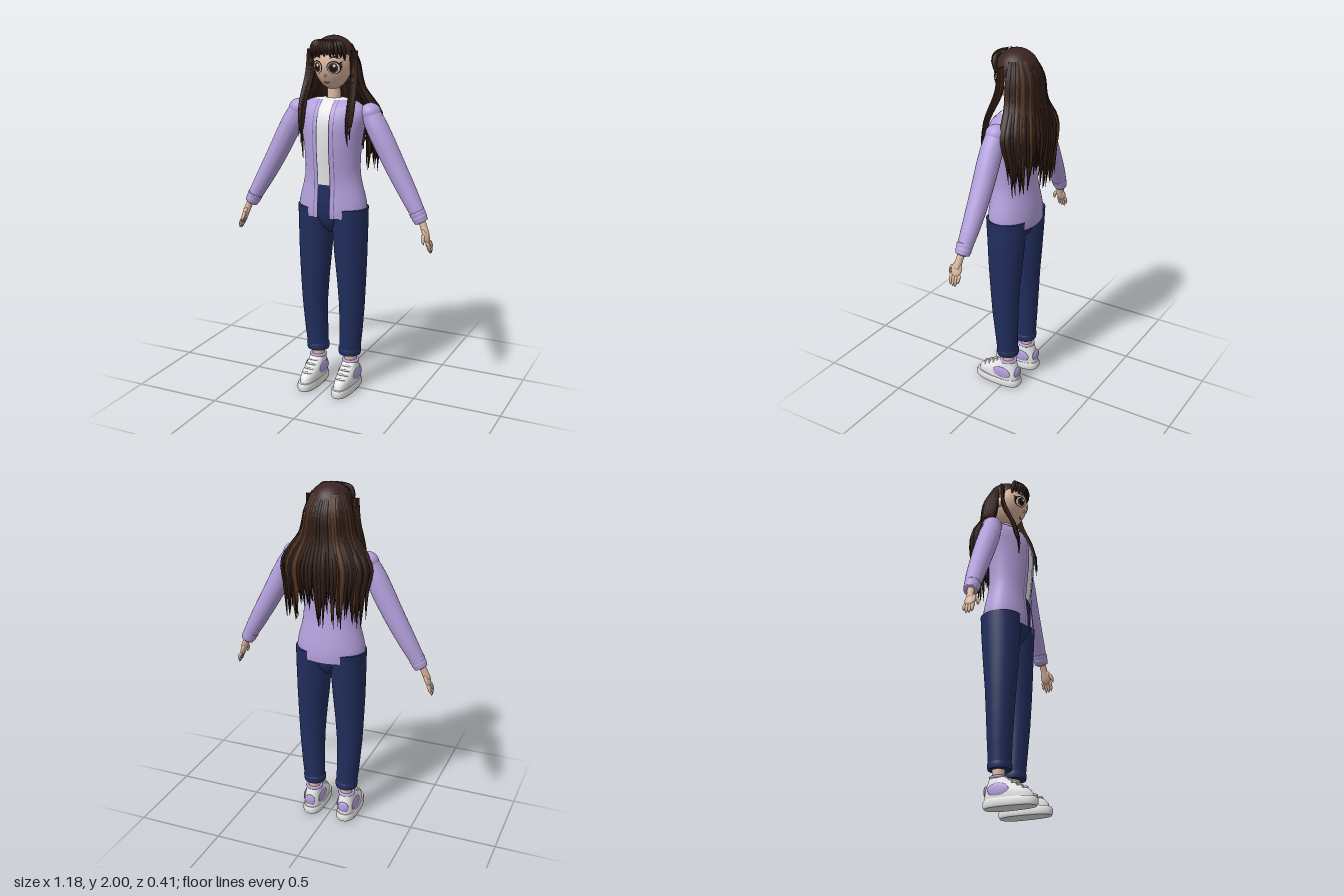
import * as THREE from 'three';
import { mergeGeometries } from 'three/addons/utils/BufferGeometryUtils.js';

const mat = (name, color, side = THREE.FrontSide) => {
  const m = new THREE.MeshStandardMaterial({ color, side });
  m.name = name;
  return m;
};
const V = (p) => new THREE.Vector3(...p);

// Small seeded random generator
let seed = 7;
const rnd = (a = 0, b = 1) => {
  seed = (seed * 16807) % 2147483647;
  return a + (b - a) * (seed / 2147483647);
};

// Surface through stacked ovals: rows of [y, cx, cz, halfWidth, frontDepth, backDepth]
function loft(rows, { seg = 40, range = null, pow = 1 } = {}) {
  const pos = [], idx = [], cols = range ? seg + 1 : seg;
  const bend = (v) => Math.sign(v) * Math.abs(v) ** pow;
  for (const r of rows) {
    const [a, b] = range ? range(r) : [0, Math.PI * 2];
    for (let i = 0; i < cols; i++) {
      const p = a + (b - a) * i / seg, c = bend(Math.cos(p));
      pos.push(r[1] + r[3] * bend(Math.sin(p)), r[0], r[2] + c * (c > 0 ? r[4] : r[5]));
    }
  }
  for (let j = 0; j < rows.length - 1; j++) for (let i = 0; i < seg; i++) {
    const a = j * cols + i, b = j * cols + (i + 1) % cols;
    idx.push(a, b, b + cols, a, b + cols, a + cols);
  }
  const g = new THREE.BufferGeometry();
  g.setAttribute('position', new THREE.Float32BufferAttribute(pos, 3));
  g.setIndex(idx);
  g.computeVertexNormals();
  return g;
}
// Close both ends of a row list
const capped = (rows) => {
  const end = (r) => [r[0], r[1], r[2], 0, 0, 0];
  const a = rows[0], z = rows[rows.length - 1];
  return [end(a), a, ...rows, z, end(z)];
};

// Tube along a curve with radii spread evenly over its length
function strand(points, radii, segs = 14, sides = 7) {
  const curve = new THREE.CatmullRomCurve3(points.map(V));
  const g = new THREE.TubeGeometry(curve, segs, 1, sides);
  const p = g.attributes.position, v = new THREE.Vector3();
  for (let i = 0; i < p.count; i++) {
    const t = Math.floor(i / (sides + 1)) / segs, c = curve.getPointAt(t);
    const k = Math.min(t * (radii.length - 1), radii.length - 1.0001), n = Math.floor(k);
    const r = THREE.MathUtils.lerp(radii[n], radii[n + 1], k - n);
    v.fromBufferAttribute(p, i).sub(c).multiplyScalar(r).add(c);
    p.setXYZ(i, v.x, v.y, v.z);
  }
  g.computeVertexNormals();
  return g;
}
const ball = (c, s, rz = 0) => new THREE.SphereGeometry(1, 28, 18).scale(...s).rotateZ(rz).translate(...c);
const mirror = (g) => {
  const m = g.clone().scale(-1, 1, 1), ix = m.index;
  for (let i = 0; i < ix.count; i += 3) {
    const a = ix.getX(i);
    ix.setX(i, ix.getX(i + 1));
    ix.setX(i + 1, a);
  }
  return m;
};

// Head shape: an egg that narrows toward the chin
const HY = 1.85, HR = [0.105, 0.135, 0.11];
const taper = (sy) => (sy < 0 ? 1 + 0.14 * sy : 1);
function faceZ(x, y) {
  const sy = (y - HY) / HR[1], k = taper(sy), sx = x / (HR[0] * k);
  return HR[2] * k * Math.sqrt(Math.max(0, 1 - sx * sx - sy * sy));
}
// Thin oval plate that hugs the face
function plate(cx, cy, rx, ry, lift) {
  const g = new THREE.RingGeometry(0.001, 1, 28, 4).scale(rx, ry, 1).translate(cx, cy, 0);
  const p = g.attributes.position;
  for (let i = 0; i < p.count; i++) p.setZ(i, faceZ(p.getX(i), p.getY(i)) + lift);
  g.computeVertexNormals();
  return g;
}
const faceLine = (pts, r) => strand(pts.map(([x, y]) => [x, y, faceZ(x, y) + 0.002]), [0, r, r, 0], 10, 5);

export function createModel() {
  seed = 7;
  const root = new THREE.Group();
  const M = {
    skin: mat('skin', 0xdcb79f), hair: mat('dark hair', 0x2f1c15), cap: mat('crown hair', 0x3a2322),
    light: mat('hair highlight', 0x55351f), lilac: mat('lilac cloth', 0xb3a0dc, THREE.DoubleSide),
    seam: mat('seam purple', 0x75689c, THREE.DoubleSide), navy: mat('navy denim', 0x212e5e),
    white: mat('white', 0xe9e9ea), black: mat('eye black', 0x1a1214), lip: mat('lip', 0x8c5149),
  };
  const add = (name, g, m) => {
    const mesh = new THREE.Mesh(Array.isArray(g) ? mergeGeometries(g) : g, m);
    mesh.name = name;
    root.add(mesh);
  };
  const pair = (name, g, m) => {
    const one = Array.isArray(g) ? mergeGeometries(g) : g;
    add(name + 'Left', one, m);
    add(name + 'Right', mirror(one), m);
  };

  // Head, ears and neck
  const head = new THREE.SphereGeometry(1, 40, 28), hp = head.attributes.position;
  for (let i = 0; i < hp.count; i++) {
    const y = hp.getY(i), k = taper(y);
    hp.setXYZ(i, hp.getX(i) * HR[0] * k, HY + y * HR[1], hp.getZ(i) * HR[2] * k);
  }
  head.computeVertexNormals();
  add('head', head, M.skin);
  pair('ear', ball([0.104, 1.83, -0.015], [0.014, 0.03, 0.02]), M.skin);
  add('neck', new THREE.CylinderGeometry(0.033, 0.04, 0.18, 24).translate(0, 1.68, -0.012), M.skin);

  // Face
  pair('eyeOutline', plate(0.047, 1.84, 0.034, 0.035, 0.002), M.black);
  pair('eyeWhite', plate(0.047, 1.838, 0.029, 0.03, 0.0035), M.white);
  pair('iris', plate(0.046, 1.839, 0.023, 0.027, 0.005), M.light);
  pair('pupil', plate(0.046, 1.839, 0.016, 0.02, 0.0065), M.black);
  add('eyeGlints', [plate(0.053, 1.85, 0.007, 0.008, 0.008), plate(-0.04, 1.85, 0.007, 0.008, 0.008)], M.white);
  pair('lash', [0, 1, 2].map((i) =>
    faceLine([[0.07, 1.858 - i * 0.012], [0.078, 1.863 - i * 0.012], [0.086, 1.87 - i * 0.013]], 0.003)), M.black);
  pair('eyebrow', faceLine([[0.025, 1.887], [0.05, 1.897], [0.072, 1.885]], 0.004), M.hair);
  add('nose', ball([0, 1.797, faceZ(0, 1.797)], [0.007, 0.007, 0.008]), M.skin);
  add('mouth', faceLine([[-0.02, 1.763], [0, 1.756], [0.02, 1.763]], 0.004), M.lip);

  // Crown of the hair
  add('hairCrown', new THREE.SphereGeometry(0.117, 40, 24, 0, Math.PI * 2, 0, 1.66)
    .rotateX(-0.6).translate(0, 1.883, -0.01), M.cap);

  // Long back hair in two layers, with some lighter strands
  const dark = [], light = [];
  for (const [count, k] of [[54, 1], [36, 0.88]]) for (let i = 0; i < count; i++) {
    const a = (i / (count - 1) * 2 - 1) * 1.5 + rnd(-0.03, 0.03), s = Math.sin(a), c = Math.cos(a);
    const w = rnd(0.94, 1.03) * k, tip = rnd(1.25, 1.42);
    const g = strand([
      [0.09 * s, 1.95, -0.02 - 0.075 * c],
      [0.123 * s * k, 1.86, -0.02 - 0.125 * c * k],
      [0.15 * s * k, 1.73, -0.03 - 0.125 * c * k],
      [0.238 * s * w, 1.58, -0.055 - 0.138 * c * w],
      [0.228 * s * w, 1.46, -0.075 - 0.115 * c * w],
      [0.22 * s * w + rnd(-0.01, 0.01), tip, -0.085 - 0.09 * c * w],
    ], [0.008, 0.014, 0.016, 0.018, 0.015, 0.008, 0.001], 18);
    (k === 1 && rnd() < 0.16 ? light : dark).push(g);
  }
  add('backHair', dark, M.hair);
  add('backHairHighlights', light, M.light);

  // Side locks falling in front of the shoulders
  const lock = (i) => strand([
    [0.105 + i * 0.009, 1.925, 0.012], [0.116 + i * 0.007, 1.8, 0.012 + i * 0.003],
    [0.13 + i * 0.006, 1.64, 0.085], [0.13 + i * 0.006, 1.52, 0.115],
    [0.138 + i * 0.004, 1.43 + 0.035 * ((i * 2) % 5), 0.118]], [0.008, 0.011, 0.012, 0.011, 0.001]);
  pair('sideLock', [0, 1, 3, 4].map(lock), M.hair);
  pair('sideLockHighlight', lock(2), M.light);

  // Fringe
  const fringe = [];
  for (let i = 0; i < 13; i++) {
    const u = i / 6 - 1, x = 0.092 * u;
    fringe.push(strand([[x * 0.5, 1.975, 0.06], [x * 0.85, 1.962, 0.1 - 0.03 * u * u],
      [x, 1.93, 0.112 - 0.045 * u * u], [x * 1.03, 1.897 - 0.02 * u * u + 0.008 * (i % 2), 0.11 - 0.05 * u * u]],
    [0.008, 0.013, 0.014, 0.003]));
  }
  add('fringe', fringe, M.hair);

  // Jacket body, open at the front over a shirt
  const torso = [
    [1.025, 0, 0, 0.19, 0.125, 0.135], [1.06, 0, 0, 0.197, 0.127, 0.137], [1.1, 0, 0, 0.195, 0.125, 0.134],
    [1.15, 0, 0, 0.184, 0.12, 0.128], [1.2, 0, 0, 0.17, 0.117, 0.119], [1.25, 0, 0, 0.16, 0.119, 0.11],
    [1.3, 0, 0, 0.157, 0.125, 0.105], [1.4, 0, 0, 0.162, 0.135, 0.102], [1.5, 0, 0, 0.177, 0.138, 0.105],
    [1.55, 0, 0, 0.187, 0.132, 0.107], [1.59, 0, 0, 0.194, 0.12, 0.105], [1.625, 0, 0, 0.185, 0.1, 0.095],
    [1.65, 0, 0, 0.15, 0.075, 0.078], [1.665, 0, 0, 0.11, 0.055, 0.062]];
  const grown = (rows, k) => rows.map(([y, x, z, ...r]) => [y, x, z, ...r.map((v) => v * k)]);
  const phi = (x, r) => Math.asin(x / r[3]);
  add('jacketBody', loft(torso, { seg: 56, range: (r) => [phi(0.042, r), Math.PI * 2 - phi(0.042, r)] }), M.lilac);
  const band = (x0, x1, k) => loft(grown(torso, k), { seg: 4, range: (r) => [phi(x0, r), phi(x1, r)] });
  pair('jacketPlacket', band(0.037, 0.058, 1.025), M.lilac);
  pair('jacketSeam', [band(0.034, 0.039, 1.03), band(0.057, 0.061, 1.028)], M.seam);
  add('shirt', loft([...grown(torso.slice(4), 0.965), [1.672, 0, -0.01, 0.042, 0.042, 0.042]]), M.white);

  // Sleeves with puffed shoulders and ribbed cuffs
  pair('sleeve', strand([[0.2, 1.62, -0.015], [0.27, 1.49, -0.012], [0.355, 1.33, -0.012],
    [0.44, 1.18, -0.008], [0.515, 1.05, 0]], [0.05, 0.06, 0.06, 0.057, 0.053, 0.047, 0.038], 28, 24), M.lilac);
  pair('shoulder', ball([0.213, 1.6, -0.015], [0.056, 0.052, 0.056]), M.lilac);
  pair('cuff', [strand([[0.486, 1.1, 0], [0.51, 1.055, 0], [0.526, 1.027, 0]],
    [0, 0.043, 0.044, 0.041, 0.042, 0.039, 0.037, 0], 21, 24)], M.lilac);

  // Hands
  const hand = [ball([0.553, 0.965, 0.016], [0.015, 0.045, 0.031], 0.37),
    strand([[0.515, 1.06, 0.003], [0.535, 1.015, 0.008], [0.553, 0.97, 0.015]], [0.02, 0.019, 0.02], 8, 14),
    strand([[0.545, 0.985, 0.037], [0.548, 0.955, 0.055], [0.556, 0.925, 0.06]], [0, 0.011, 0.01, 0.008, 0], 12, 10)];
  for (let i = 0; i < 4; i++) {
    const z = -0.008 + i * 0.0155, e = i === 0 ? 0.02 : i === 3 ? 0.008 : 0;
    hand.push(strand([[0.56, 0.945, z], [0.575, 0.915, z], [0.585 - e * 0.3, 0.873 + e, z]],
      [0, 0.0095, 0.009, 0.008, 0], 12, 10));
  }
  pair('hand', hand, M.skin);

  // Trousers
  add('hips', loft([[0.92, 0, 0, 0, 0, 0], [0.928, 0, 0, 0.035, 0.04, 0.05], [0.96, 0, 0, 0.07, 0.075, 0.085],
    [1.0, 0, 0, 0.1, 0.095, 0.105], [1.06, 0, 0, 0.165, 0.11, 0.118], [1.13, 0, 0, 0.172, 0.114, 0.118],
    [1.21, 0, 0, 0.16, 0.114, 0.11]]), M.navy);
  pair('trouserLeg', loft(capped([[0.21, 0.1, -0.01, 0.06, 0.06, 0.06], [0.35, 0.109, -0.008, 0.066, 0.068, 0.066],
    [0.5, 0.115, -0.005, 0.072, 0.078, 0.073], [0.65, 0.113, -0.003, 0.081, 0.087, 0.083],
    [0.8, 0.108, 0, 0.091, 0.094, 0.1], [0.95, 0.103, 0, 0.098, 0.102, 0.113],
    [1.075, 0.102, 0, 0.1, 0.109, 0.12]])), M.navy);
  pair('trouserCuff', loft(capped([[0.203, 0.1, -0.01, 0.062, 0.062, 0.062], [0.215, 0.1, -0.01, 0.065, 0.065, 0.065],
    [0.235, 0.101, -0.01, 0.065, 0.065, 0.065], [0.242, 0.101, -0.01, 0.06, 0.06, 0.06]])), M.navy);

  // Ankles and shoes
  pair('ankle', new THREE.CylinderGeometry(0.034, 0.034, 0.14, 24).translate(0.102, 0.17, -0.016), M.skin);
  pair('shoeSole', loft(capped([[0, 0.106, 0.02, 0.055, 0.172, 0.11], [0.01, 0.106, 0.02, 0.061, 0.179, 0.116],
    [0.034, 0.106, 0.02, 0.061, 0.179, 0.116], [0.045, 0.106, 0.02, 0.056, 0.172, 0.11]]), { pow: 0.8 }), M.white);
  pair('shoeUpper', loft(capped([[0.04, 0.106, 0, 0.053, 0.18, 0.085], [0.065, 0.106, 0, 0.054, 0.176, 0.085],
    [0.085, 0.106, 0, 0.052, 0.16, 0.082], [0.105, 0.105, -0.003, 0.05, 0.125, 0.075],
    [0.13, 0.104, -0.008, 0.046, 0.08, 0.062], [0.16, 0.103, -0.014, 0.043, 0.045, 0.046]]), { pow: 0.85 }), M.white);
  pair('shoeCollar', new THREE.TorusGeometry(0.041, 0.009, 10, 32).rotateX(Math.PI / 2)
    .translate(0.103, 0.16, -0.015), M.lilac);
  pair('shoePatch', [ball([0.155, 0.088, 0.002], [0.009, 0.036, 0.058]), ball([0.057, 0.088, 0.002], [0.009, 0.036, 0.058]),
    ball([0.106, 0.09, -0.079], [0.034, 0.034, 0.011])], M.lilac);
  pair('shoeLace', [0, 1, 2, 3].map((i) => {
    const y = 0.096 + i * 0.016, z = 0.142 - i * 0.029;
    return strand([[0.07, y - 0.006, z - 0.015], [0.105, y + 0.003, z], [0.14, y - 0.006, z - 0.015]],
      [0, 0.006, 0.006, 0.006, 0], 12, 8);
  }), M.white);

  return root;
}
